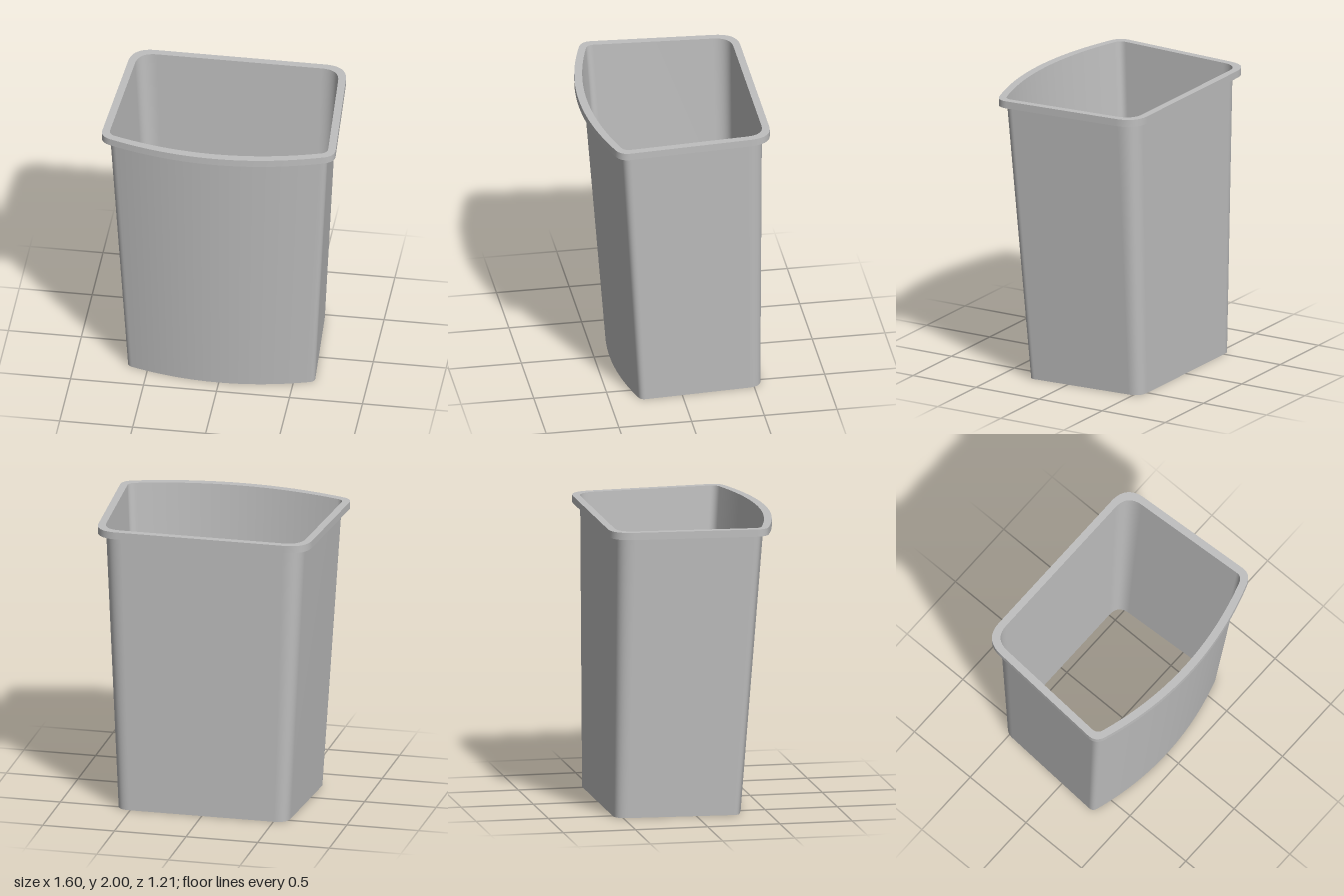
import * as THREE from 'three';

const plastic = new THREE.MeshStandardMaterial({ color: 0xbebebe, side: THREE.DoubleSide });
plastic.name = 'grey plastic';

// Closed outline: straight back, flaring sides, bowed front, rounded corners
function outline({ back, front, zBack, zCorner, zFront, rBack, rFront }) {
  const half = [];
  const bow = x => zFront - (zFront - zCorner) * (x / front) ** 2;
  const v = (x, z) => new THREE.Vector2(x, z);
  const frontCorner = v(front, zCorner), backCorner = v(back, zBack);
  const along = backCorner.clone().sub(frontCorner).normalize();
  const xArc = front - rFront;
  for (let i = 0; i < 12; i++) half.push(v((xArc * i) / 12, bow((xArc * i) / 12)));
  half.push(...new THREE.QuadraticBezierCurve(
    v(xArc, bow(xArc)), frontCorner, frontCorner.clone().addScaledVector(along, rFront)).getPoints(8));
  half.push(...new THREE.QuadraticBezierCurve(
    backCorner.clone().addScaledVector(along, -rBack), backCorner, v(back - rBack, zBack)).getPoints(12));
  const mirrored = half.slice(1).reverse().map(p => v(-p.x, p.y));
  return [...half, ...mirrored];
}

// Surface joining two outlines at given heights
function loft(name, a, ya, b, yb) {
  const n = a.length, positions = [], index = [];
  a.forEach(p => positions.push(p.x, ya, p.y));
  b.forEach(p => positions.push(p.x, yb, p.y));
  for (let i = 0; i < n; i++) {
    const j = (i + 1) % n;
    index.push(i, j, n + j, i, n + j, n + i);
  }
  const g = new THREE.BufferGeometry();
  g.setAttribute('position', new THREE.Float32BufferAttribute(positions, 3));
  g.setIndex(index);
  g.computeVertexNormals();
  const mesh = new THREE.Mesh(g, plastic);
  mesh.name = name;
  return mesh;
}

export function createModel() {
  const group = new THREE.Group();
  group.name = 'wasteBin';

  const foot = outline({ back: 0.594, front: 0.643, zBack: -0.555, zCorner: 0.288, zFront: 0.395, rBack: 0.09, rFront: 0.035 });
  const mouth = outline({ back: 0.688, front: 0.75, zBack: -0.555, zCorner: 0.42, zFront: 0.55, rBack: 0.125, rFront: 0.045 });
  const lip = outline({ back: 0.736, front: 0.804, zBack: -0.605, zCorner: 0.453, zFront: 0.605, rBack: 0.155, rFront: 0.07 });

  // Tapered thin wall, open at both ends
  group.add(loft('wall', foot, 0, mouth, 2));
  // Flat rim with a short skirt hanging from its outer edge
  group.add(loft('rimTop', lip, 2, mouth, 2));
  group.add(loft('rimSkirt', lip, 1.95, lip, 2));

  // Narrow ledge along one side of the foot
  const ledge = new THREE.ShapeGeometry(new THREE.Shape([
    new THREE.Vector2(-0.598, 0.47), new THREE.Vector2(-0.638, -0.26), new THREE.Vector2(-0.6, -0.3),
  ]));
  ledge.rotateX(-Math.PI / 2);
  const ledgeMesh = new THREE.Mesh(ledge, plastic);
  ledgeMesh.name = 'footLedge';
  group.add(ledgeMesh);

  return group;
}
